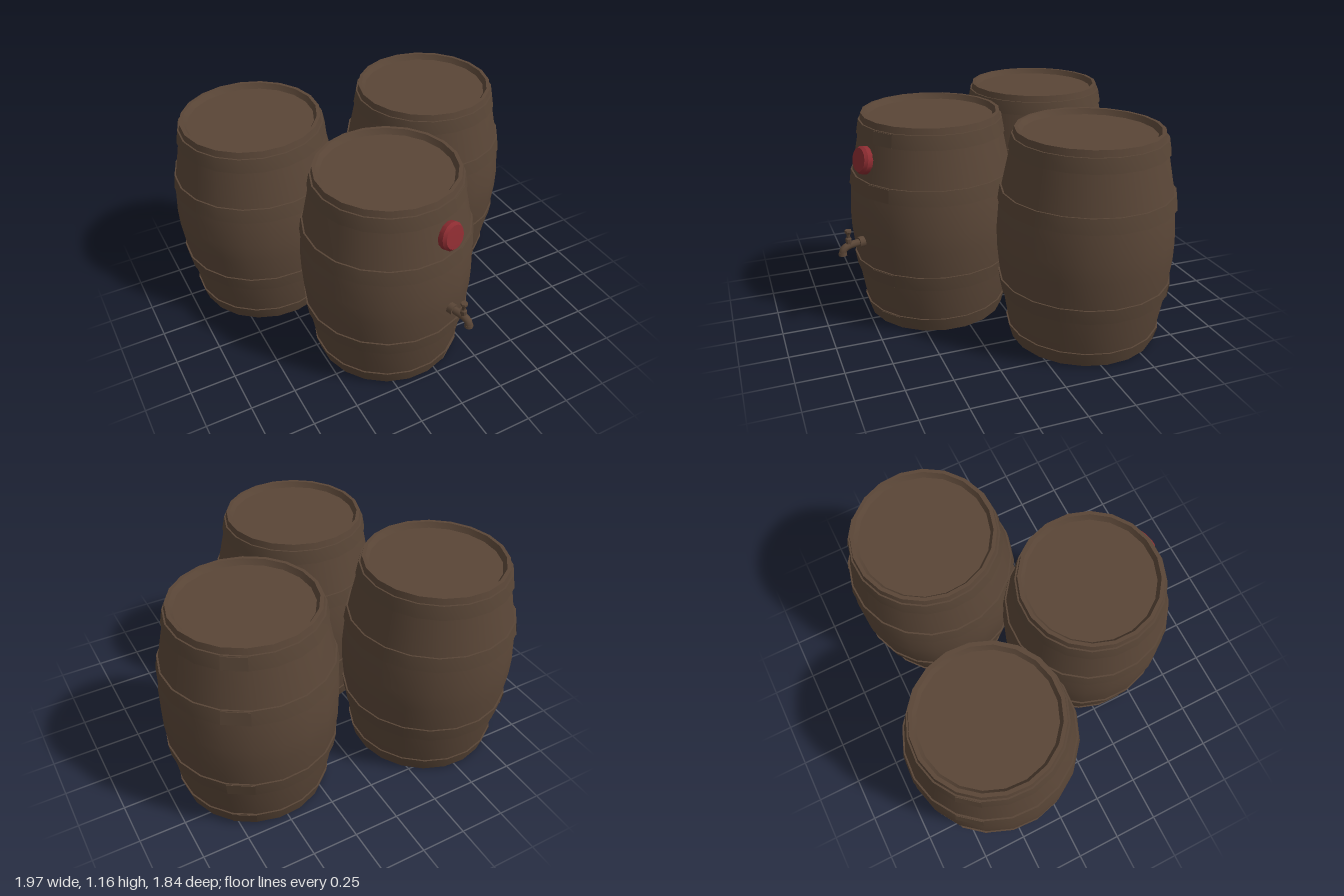
import * as THREE from 'three';
import { toCreasedNormals } from 'three/addons/utils/BufferGeometryUtils.js';

const SIDES = 20;
const wood = new THREE.MeshStandardMaterial({ name: 'dark oak', color: 0x5a4637 });
const hoopBrown = new THREE.MeshStandardMaterial({ name: 'hoop brown', color: 0x584536 });
const sealRed = new THREE.MeshStandardMaterial({ name: 'seal red', color: 0x8c2c31 });

// Bulging stave profile as [radius, height]
const STAVES = [[0.392, 0.01], [0.418, 0.1], [0.451, 0.29], [0.464, 0.38], [0.479, 0.52], [0.481, 0.62],
  [0.471, 0.76], [0.456, 0.86], [0.412, 1.07], [0.392, 1.175]];
const HOOPS = [[0.015, 0.095], [0.29, 0.37], [0.78, 0.86], [1.065, 1.14]];

function part(name, geometry, material, parent) {
  const mesh = new THREE.Mesh(geometry, material);
  mesh.name = name;
  parent.add(mesh);
  return mesh;
}

function lathe(points, sides = SIDES, start = 0, length = Math.PI * 2) {
  const profile = points.map(([r, y]) => new THREE.Vector2(r, y));
  return toCreasedNormals(new THREE.LatheGeometry(profile, sides, start, length), 0.6);
}

// Stave radius at a height
function radiusAt(y) {
  const i = Math.max(1, STAVES.findIndex((p) => p[1] >= y));
  const [r0, y0] = STAVES[i - 1];
  const [r1, y1] = STAVES[i];
  return r0 + (r1 - r0) * (y - y0) / (y1 - y0);
}

// Closed strip that follows the staves between two heights
function strip(y0, y1, out) {
  const a = radiusAt(y0);
  const b = radiusAt(y1);
  return [[a - 0.01, y0], [a + out, y0], [b + out, y1], [b - 0.01, y1]];
}

function makeBarrel(name, x, z, scale, turn, seam) {
  const barrel = new THREE.Group();
  barrel.name = name;
  barrel.position.set(x, 0, z);

  const body = new THREE.Group();
  body.name = 'barrelBody';
  body.scale.set(scale, 1, scale);
  body.rotation.y = turn;
  barrel.add(body);

  // Base, staves, bevelled rim and sunken lid
  part('stavesAndRim', lathe([[0, 0.01], ...STAVES, [0.372, 1.175], [0.355, 1.145]]), wood, body);
  part('lid', lathe([[0.357, 1.145], [0, 1.145]]), wood, body);

  // Hoops, each with a thin lapped joint
  for (const [y0, y1] of HOOPS) {
    part('hoop', lathe(strip(y0, y1, 0.009)), hoopBrown, body);
    const step = Math.PI * 2 / SIDES;
    part('hoopJoint', lathe(strip(y0 + 0.004, y1 - 0.004, 0.013), 1, seam * step, step), hoopBrown, body)
      .material.side = THREE.DoubleSide;
  }
  return barrel;
}

function makeSeal() {
  const seal = new THREE.Group();
  seal.name = 'bungSeal';
  const disc = lathe([[0, -0.035], [0.066, -0.035], [0.076, -0.02], [0.076, 0.012], [0.064, 0.028], [0, 0.03]], 14);
  disc.rotateX(Math.PI / 2);
  part('sealDisc', disc, sealRed, seal);
  seal.position.set(0, 0.97, 0.428);
  seal.rotation.x = -0.2;
  return seal;
}

function makeTap() {
  const tap = new THREE.Group();
  tap.name = 'tap';
  // Curved spout
  const path = new THREE.CatmullRomCurve3([[0.42, 0.512], [0.5, 0.512], [0.545, 0.51], [0.578, 0.496], [0.586, 0.466]]
    .map(([z, y]) => new THREE.Vector3(0, y, z)));
  part('spout', new THREE.TubeGeometry(path, 12, 0.021, 8), wood, tap);
  const mouth = part('spoutMouth', new THREE.CylinderGeometry(0.022, 0.024, 0.016, 8), wood, tap);
  mouth.position.set(0, 0.472, 0.585);
  // Collar against the staves
  const collar = part('collar', new THREE.CylinderGeometry(0.03, 0.03, 0.045, 10), wood, tap);
  collar.rotation.x = Math.PI / 2;
  collar.position.set(0, 0.512, 0.465);
  // Valve stem with flared grip
  part('valveHandle', lathe([[0, 0.515], [0.017, 0.515], [0.017, 0.55], [0.01, 0.557], [0.011, 0.575],
    [0.02, 0.59], [0.018, 0.6], [0, 0.6]], 8), wood, tap).position.set(0, 0, 0.545);
  return tap;
}

export function createModel() {
  const model = new THREE.Group();
  model.name = 'barrelGroup';
  model.add(makeBarrel('backRightBarrel', -0.52, -0.45, 0.98, 0.1, 12));
  model.add(makeBarrel('backLeftBarrel', 0.51, -0.32, 0.98, 0.22, 7));

  const front = makeBarrel('frontBarrel', -0.103, 0.34, 0.965, 0.15, 1);
  const fittings = new THREE.Group();
  fittings.name = 'fittings';
  fittings.rotation.y = 0.3;
  fittings.add(makeSeal(), makeTap());
  front.add(fittings);
  model.add(front);
  return model;
}
